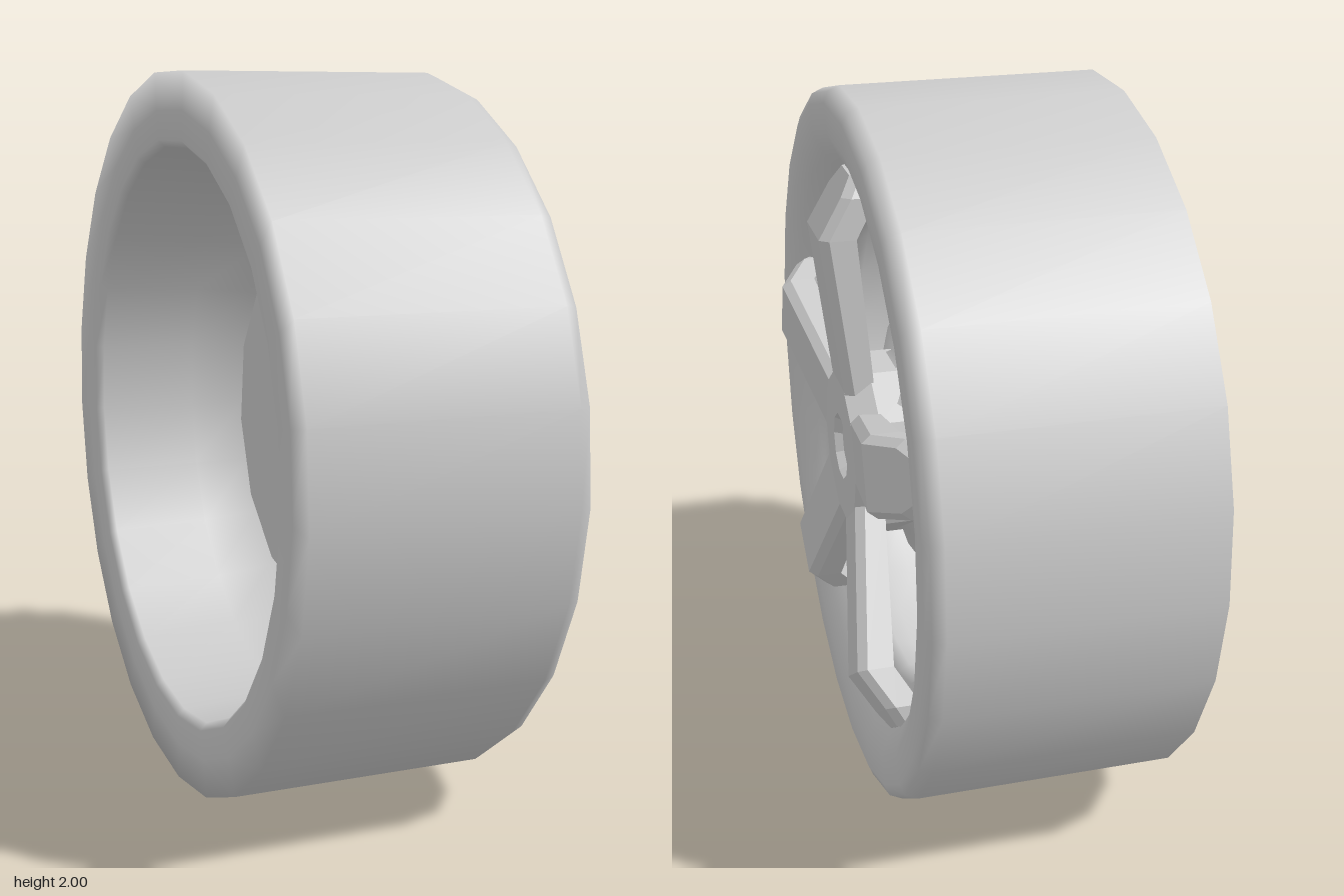
import * as THREE from 'three';

const smooth = new THREE.MeshStandardMaterial({ color: 0xcccccc });
const faceted = new THREE.MeshStandardMaterial({ color: 0xcccccc, flatShading: true });

// Profile points are [radius, distance along the axle]
function lathe(name, profile, sides, start, material) {
  const points = profile.map(([r, a]) => new THREE.Vector2(r, a));
  const mesh = new THREE.Mesh(new THREE.LatheGeometry(points, sides, start), material);
  mesh.name = name;
  return mesh;
}

// Spoke lofted along -x from bevelled cross-sections
function spokeGeometry() {
  const sections = [
    // radius, outer face, inner face, half width
    [0.19, 0.351, 0.27, 0.105],
    [0.64, 0.408, 0.31, 0.105],
    [0.75, 0.345, 0.25, 0.10],
    [0.80, 0.315, 0.24, 0.07],
  ];
  const pos = [], index = [], n = 6;
  for (const [r, top, bottom, w] of sections) {
    const ring = [
      [top, -w + 0.02], [top, w - 0.02], [top - 0.025, w],
      [bottom, w], [bottom, -w], [top - 0.025, -w],
    ];
    for (const [y, z] of ring) pos.push(-r, y, z);
  }
  for (let s = 0; s < sections.length - 1; s++) {
    for (let i = 0; i < n; i++) {
      const a = s * n + i, b = s * n + (i + 1) % n;
      index.push(a, a + n, b, b, a + n, b + n);
    }
  }
  const end = (sections.length - 1) * n;
  for (let i = 1; i < n - 1; i++) {
    index.push(0, i, i + 1);
    index.push(end, end + i + 1, end + i);
  }
  const g = new THREE.BufferGeometry();
  g.setAttribute('position', new THREE.Float32BufferAttribute(pos, 3));
  g.setIndex(index);
  g.computeVertexNormals();
  return g;
}

export function createModel() {
  const model = new THREE.Group();
  model.name = 'wheel';

  // Everything is turned about local y, then the axle is laid along x
  const wheel = new THREE.Group();
  wheel.name = 'wheelAssembly';
  wheel.rotation.z = -Math.PI / 2;
  wheel.position.y = 1.004;
  model.add(wheel);

  // Tyre and rim as one rounded ring
  wheel.add(lathe('tyre', [
    [0.9, -0.41], [1.004, -0.41], [1.004, 0.3], [0.99, 0.333], [0.96, 0.345],
    [0.88, 0.342], [0.82, 0.315], [0.78, 0.285], [0.75, 0.265], [0.69, 0.235],
    [0.67, 0.2], [0.685, 0.15], [0.75, 0.07], [0.78, -0.1], [0.8, -0.39],
    [0.82, -0.41], [0.9, -0.41],
  ], 25, Math.PI / 2, smooth));

  // Domed drum behind the spokes, with a flat back
  wheel.add(lathe('drum', [
    [0.5, -0.03], [0.475, 0.05], [0.42, 0.11], [0.34, 0.16], [0.26, 0.185], [0.24, 0.25],
  ], 13, Math.PI / 2, smooth));
  wheel.add(lathe('drumBack', [[0, -0.03], [0.5, -0.03]], 13, Math.PI / 2, faceted));

  // Hub with chamfered rim and centre recess
  wheel.add(lathe('hub', [
    [0.26, 0.14], [0.26, 0.28], [0.215, 0.352], [0.095, 0.352], [0.08, 0.33], [0, 0.33],
  ], 10, Math.PI / 2 + Math.PI / 10, faceted));

  // Five spokes
  const geometry = spokeGeometry();
  for (let i = 0; i < 5; i++) {
    const spoke = new THREE.Mesh(geometry, faceted);
    spoke.name = 'spoke' + (i + 1);
    spoke.rotation.y = (i * Math.PI * 2) / 5;
    wheel.add(spoke);
  }
  return model;
}
